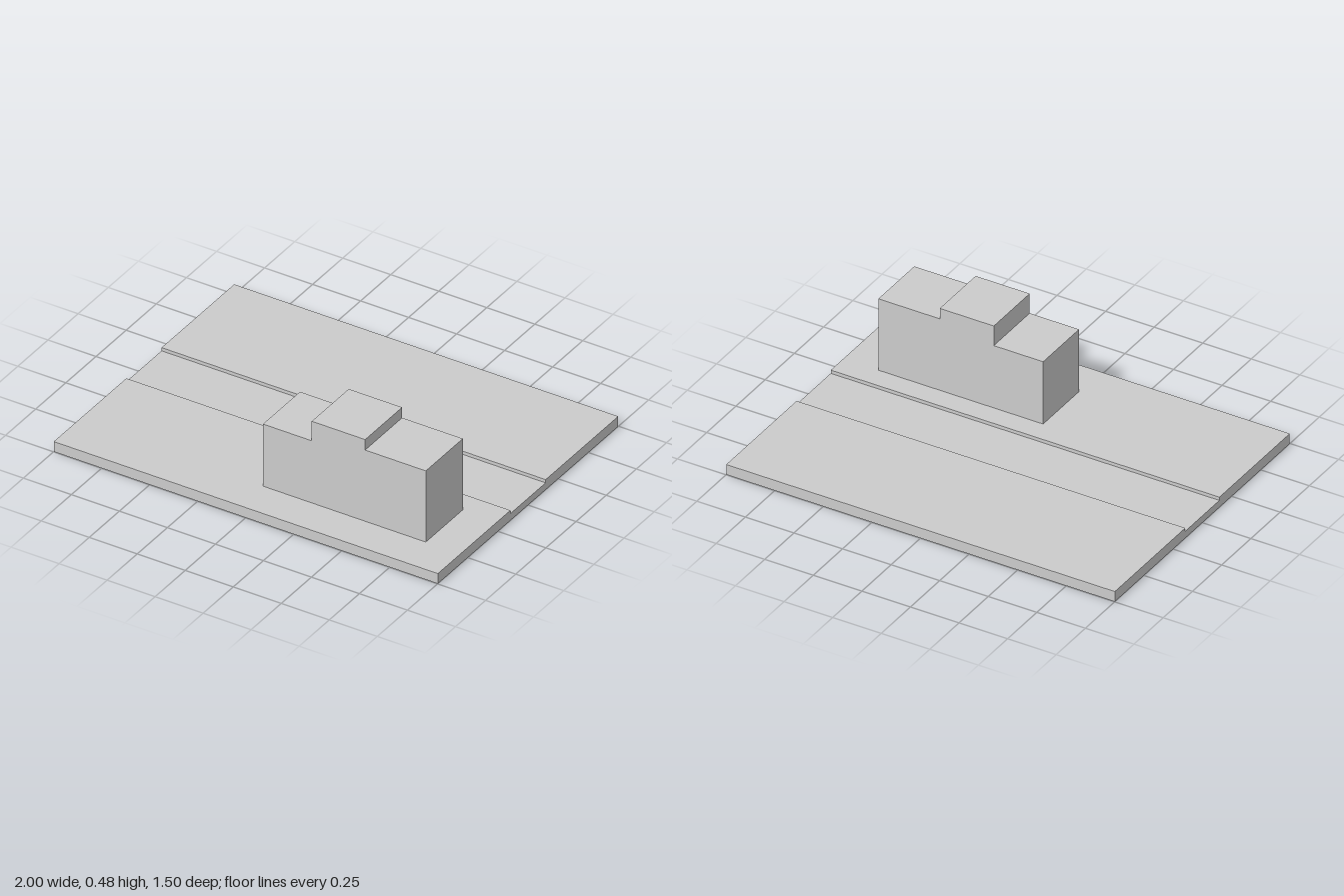
import * as THREE from 'three';

const material = new THREE.MeshStandardMaterial({ color: 0xcccccc, flatShading: true });

// Box given by its lower and upper limits on each axis
function block(name, [x0, x1], [y0, y1], [z0, z1]) {
  const mesh = new THREE.Mesh(new THREE.BoxGeometry(x1 - x0, y1 - y0, z1 - z0), material);
  mesh.position.set((x0 + x1) / 2, (y0 + y1) / 2, (z0 + z1) / 2);
  mesh.name = name;
  return mesh;
}

export function createModel() {
  const model = new THREE.Group();
  model.name = 'streetBlock';

  const ground = 0.053, roadTop = 0.036;
  const edge = 0.748, kerb = 0.146;
  const width = [-1, 1];

  // Raised plots on both sides of a sunken road
  model.add(
    block('frontPlot', width, [0, ground], [kerb, edge]),
    block('road', width, [0, roadTop], [-kerb, kerb]),
    block('backPlot', width, [0, ground], [-edge, -kerb])
  );

  // Row of three joined buildings of different heights
  const buildings = new THREE.Group();
  buildings.name = 'buildings';
  const depth = [0.254, 0.561];
  const row = [
    ['rightBuilding', [-0.028, 0.226], 0.38],
    ['middleBuilding', [0.226, 0.504], 0.483],
    ['leftBuilding', [0.504, 0.82], 0.428],
  ];
  for (const [name, span, top] of row) {
    buildings.add(block(name, span, [ground, top], depth));
  }
  model.add(buildings);

  return model;
}
